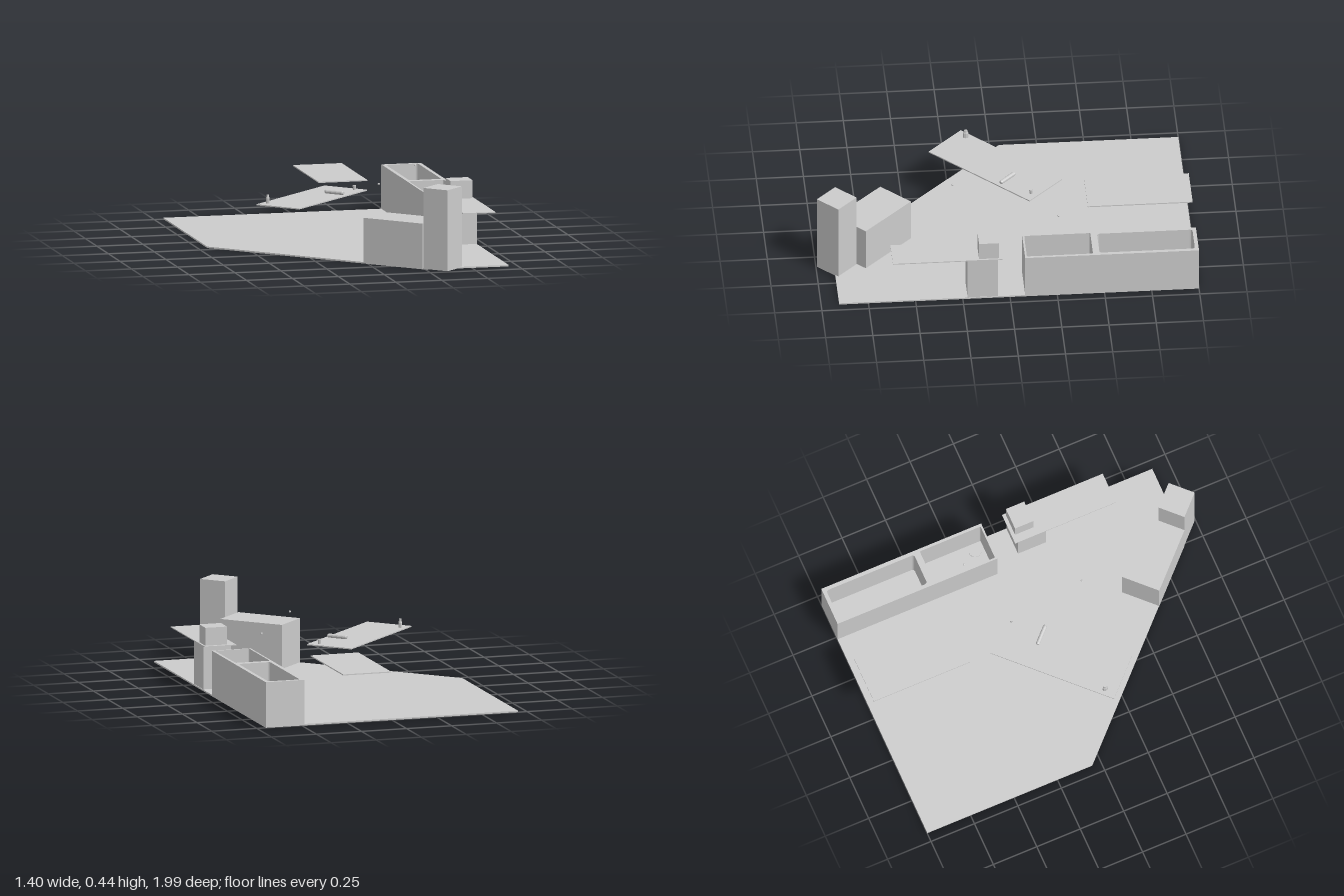
import * as THREE from 'three';

const mat = new THREE.MeshStandardMaterial({ color: 0xcccccc, flatShading: true });

function add(group, name, geometry, x = 0, y = 0, z = 0, turn = 0) {
  const mesh = new THREE.Mesh(geometry, mat);
  mesh.name = name;
  mesh.position.set(x, y, z);
  mesh.rotation.y = turn;
  group.add(mesh);
  return mesh;
}

// Box given by its centre in plan, its bottom and top heights, and a turn about y
function block(group, name, x, z, w, d, y0, y1, turn = 0) {
  return add(group, name, new THREE.BoxGeometry(w, y1 - y0, d), x, (y0 + y1) / 2, z, turn);
}

// Plan outline (x, z) raised from y0 to y1
function slab(shape, y0, y1) {
  const g = new THREE.ExtrudeGeometry(shape, { depth: y1 - y0, bevelEnabled: false, curveSegments: 4 });
  return g.rotateX(Math.PI / 2).translate(0, y1, 0);
}

const outline = (points) => new THREE.Shape(points.map(([x, z]) => new THREE.Vector2(x, z)));

// Rectangle with rounded corners, used for the basin openings
function roundedRect(x0, z0, x1, z1, r) {
  const p = new THREE.Path();
  p.absarc(x0 + r, z0 + r, r, Math.PI, Math.PI * 1.5);
  p.absarc(x1 - r, z0 + r, r, Math.PI * 1.5, Math.PI * 2);
  p.absarc(x1 - r, z1 - r, r, 0, Math.PI / 2);
  p.absarc(x0 + r, z1 - r, r, Math.PI / 2, Math.PI);
  p.closePath();
  return p;
}

export function createModel() {
  const model = new THREE.Group();
  model.name = 'kitchenLayout';
  const diag = Math.PI / 4;
  const floorTop = 0.008;

  // Floor with one corner cut diagonally
  add(model, 'floor', slab(outline([
    [-0.7, -1], [0.7, -1], [0.7, 0.905], [0.255, 0.905], [-0.7, -0.05],
  ]), 0, floorTop));

  // Long counter with two deep basins
  const counter = new THREE.Group();
  counter.name = 'counter';
  model.add(counter);
  const top = outline([[0.485, -1], [0.7, -1], [0.7, -0.08], [0.485, -0.08]]);
  top.holes.push(roundedRect(0.505, -0.98, 0.68, -0.475, 0.014));
  top.holes.push(roundedRect(0.495, -0.44, 0.685, -0.09, 0.006));
  add(counter, 'counterBody', slab(top, floorTop, 0.245));
  block(counter, 'largeBasinBottom', 0.5925, -0.7275, 0.18, 0.51, floorTop, 0.025);
  block(counter, 'smallBasinBottom', 0.59, -0.265, 0.194, 0.354, floorTop, 0.025);
  add(counter, 'drain', new THREE.CylinderGeometry(0.033, 0.033, 0.006, 24), 0.642, 0.027, -0.14);

  // Diagonal cabinet and tall column along the cut edge
  block(model, 'lowCabinet', 0.1825, 0.685, 0.365, 0.212, 0.003, 0.245, -diag);
  block(model, 'tallCabinet', 0.345, 0.89, 0.148, 0.148, 0.003, 0.436, -diag);

  // Thin table tops
  block(model, 'backTableTop', 0.1375, -0.7225, 0.265, 0.555, 0.255, 0.261);
  block(model, 'diagonalTableTop', -0.1475, 0.0125, 0.7, 0.262, 0.255, 0.261, diag);
  block(model, 'sideTableTop', 0.6125, 0.33, 0.175, 0.58, 0.24, 0.245);

  // Pedestal under the side table and the appliance on it
  block(model, 'pedestal', 0.6225, 0.145, 0.155, 0.16, 0.01, 0.24);
  block(model, 'applianceBox', 0.63, 0.111, 0.12, 0.105, 0.245, 0.341);

  // Small objects on the diagonal table
  const cup = new THREE.CylinderGeometry(0.01, 0.007, 0.025, 12);
  add(model, 'cup', cup, 0.127, 0.2735, -0.155);

  const roll = new THREE.LatheGeometry([
    [0, -0.057], [0.008, -0.057], [0.011, -0.05], [0.011, 0.05], [0.008, 0.057], [0, 0.057],
  ].map(([r, y]) => new THREE.Vector2(r, y)), 12).rotateZ(Math.PI / 2);
  add(model, 'roll', roll, -0.01, 0.272, -0.042, -diag);

  const bottle = new THREE.LatheGeometry([
    [0, 0], [0.01, 0], [0.01, 0.026], [0.007, 0.036], [0.006, 0.046], [0, 0.046],
  ].map(([r, y]) => new THREE.Vector2(r, y)), 8).scale(1, 1, 1.5);
  add(model, 'bottle', bottle, -0.42, 0.261, 0.147);

  // Tiny hanging beads
  for (const [x, z] of [[0.155, 0.262], [0.486, -0.272]]) {
    add(model, 'hangingBead', new THREE.SphereGeometry(0.006, 8, 6), x, 0.359, z);
  }

  return model;
}
